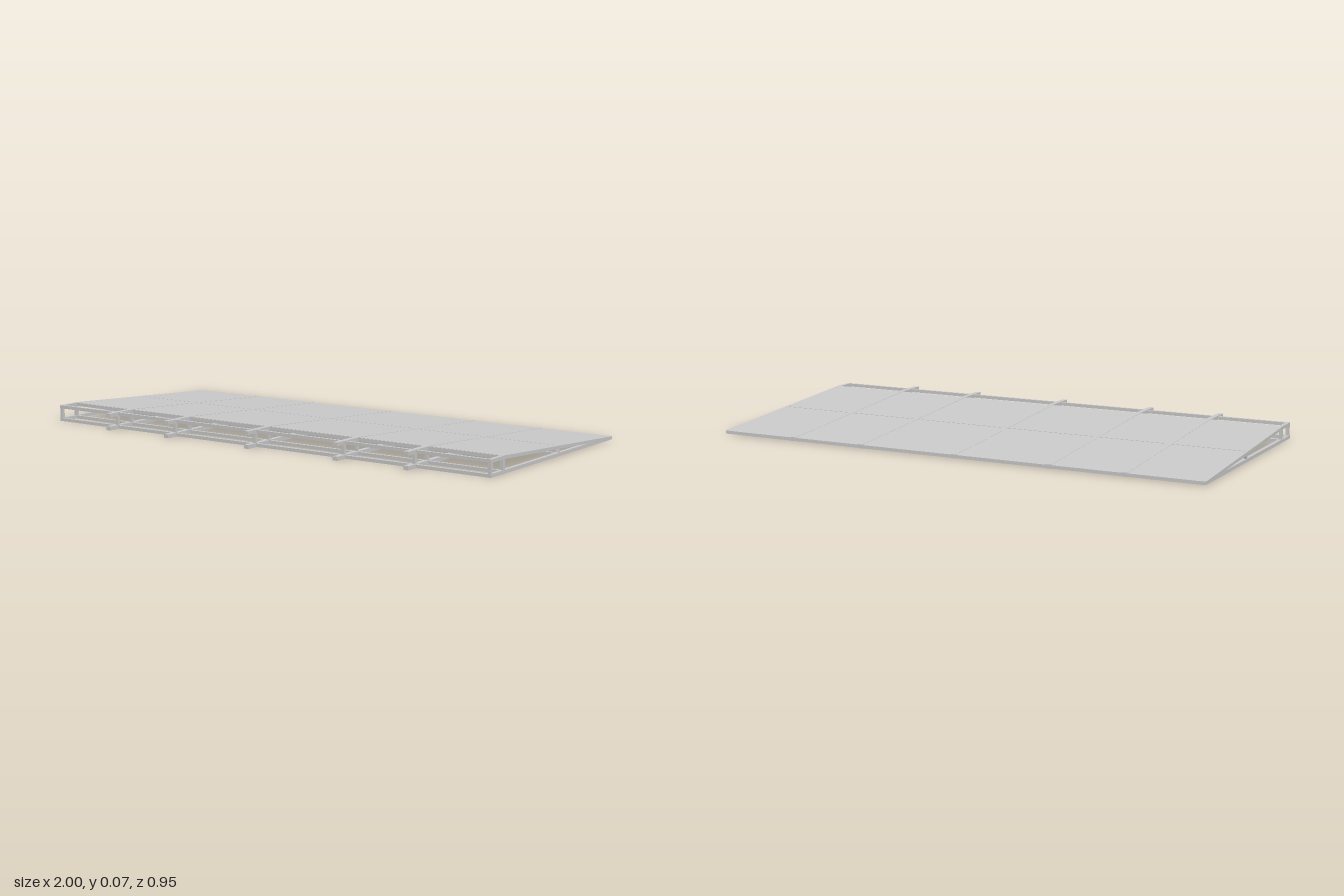
import * as THREE from 'three';

const mat = new THREE.MeshStandardMaterial({ color: 0xcccccc, flatShading: true });

// Heights of the ramp's upper surface along z
const KINK = 0.335, BACK = -0.475, HIGH = 0.073, LOW = 0.021;
const topY = z => z >= KINK ? HIGH : LOW + (HIGH - LOW) * (z - BACK) / (KINK - BACK);

export function createModel() {
  const root = new THREE.Group();

  const add = (name, geometry) => {
    const mesh = new THREE.Mesh(geometry, mat);
    mesh.name = name;
    root.add(mesh);
    return mesh;
  };

  // Box given by its limits on each axis
  const box = (name, x0, x1, y0, y1, z0, z1) =>
    add(name, new THREE.BoxGeometry(x1 - x0, y1 - y0, z1 - z0)
      .translate((x0 + x1) / 2, (y0 + y1) / 2, (z0 + z1) / 2));

  // Side outline of [z, y] points, extruded across x
  const sideProfile = (name, points, x, width) => {
    const shape = new THREE.Shape(points.map(([z, y]) => new THREE.Vector2(z, y)));
    const g = new THREE.ExtrudeGeometry(shape, { depth: width, bevelEnabled: false });
    g.rotateY(-Math.PI / 2).translate(x + width / 2, 0, 0);
    return add(name, g);
  };

  // Bar that follows the ramp: flat at the front, then sloping to the back
  const rampBar = (name, x, width, front, drop, height) => {
    const at = (z, d) => [z, Math.max(topY(z) - drop - d, 0.009)];
    sideProfile(name, [at(BACK, 0), at(BACK, height), at(KINK, height),
      at(front, height), at(front, 0), at(KINK, 0)], x, width);
  };

  const beams = [-0.695, -0.4, -0.015, 0.385, 0.685];
  const ends = [-0.99, 0.99];

  // Long beams with projecting front ends, above and below
  for (const x of beams) {
    rampBar('rampBeam', x, 0.02, 0.478, 0, 0.014);
    box('groundBeam', x - 0.01, x + 0.01, 0.007, 0.022, BACK, 0.478);
  }

  // Outer side rails
  for (const x of ends) {
    rampBar('sideRampRail', x, 0.014, 0.43, 0.001, 0.013);
    box('sideGroundRail', x - 0.007, x + 0.007, 0.008, 0.021, BACK, 0.43);
  }

  // Posts and the small leaning strut halfway along each frame line
  for (const x of [...ends, ...beams]) {
    for (const z of [0.423, 0.341]) {
      box('post', x - 0.006, x + 0.006, 0.02, 0.061, z - 0.006, z + 0.006);
    }
    sideProfile('strut', [[-0.061, 0.02], [-0.051, 0.02], [-0.055, 0.036], [-0.065, 0.036]], x, 0.012);
  }

  // Cross rails from side to side
  for (const z of [0.423, 0.341]) {
    box('upperCrossRail', -0.99, 0.99, 0.059, 0.0715, z - 0.006, z + 0.006);
    box('lowerCrossRail', -0.99, 0.99, 0.008, 0.02, z - 0.006, z + 0.006);
  }
  box('lowerMiddleRail', -0.99, 0.99, 0.009, 0.02, -0.062, -0.05);
  box('backRail', -0.997, 0.997, 0.008, 0.02, BACK, BACK + 0.012);
  const mid = topY(-0.055);
  box('upperMiddleRail', -0.99, 0.99, mid - 0.014, mid - 0.004, -0.061, -0.049);

  // Deck panels: two rows, one panel per bay
  const lines = [-0.998, ...beams, 0.998];
  for (let i = 0; i < lines.length - 1; i++) {
    const x0 = lines[i] + (i ? 0.009 : 0);
    const x1 = lines[i + 1] - (i < lines.length - 2 ? 0.009 : 0);
    for (const [z0, z1] of [[BACK, -0.057], [-0.053, 0.344]]) {
      const y0 = topY(z0) - 0.0008, y1 = topY(Math.min(z1, KINK)) - 0.0008;
      sideProfile('deckPanel', [[z0, y0 - 0.004], [z1, y1 - 0.004], [z1, y1], [z0, y0]],
        (x0 + x1) / 2, x1 - x0);
    }
  }

  return root;
}
